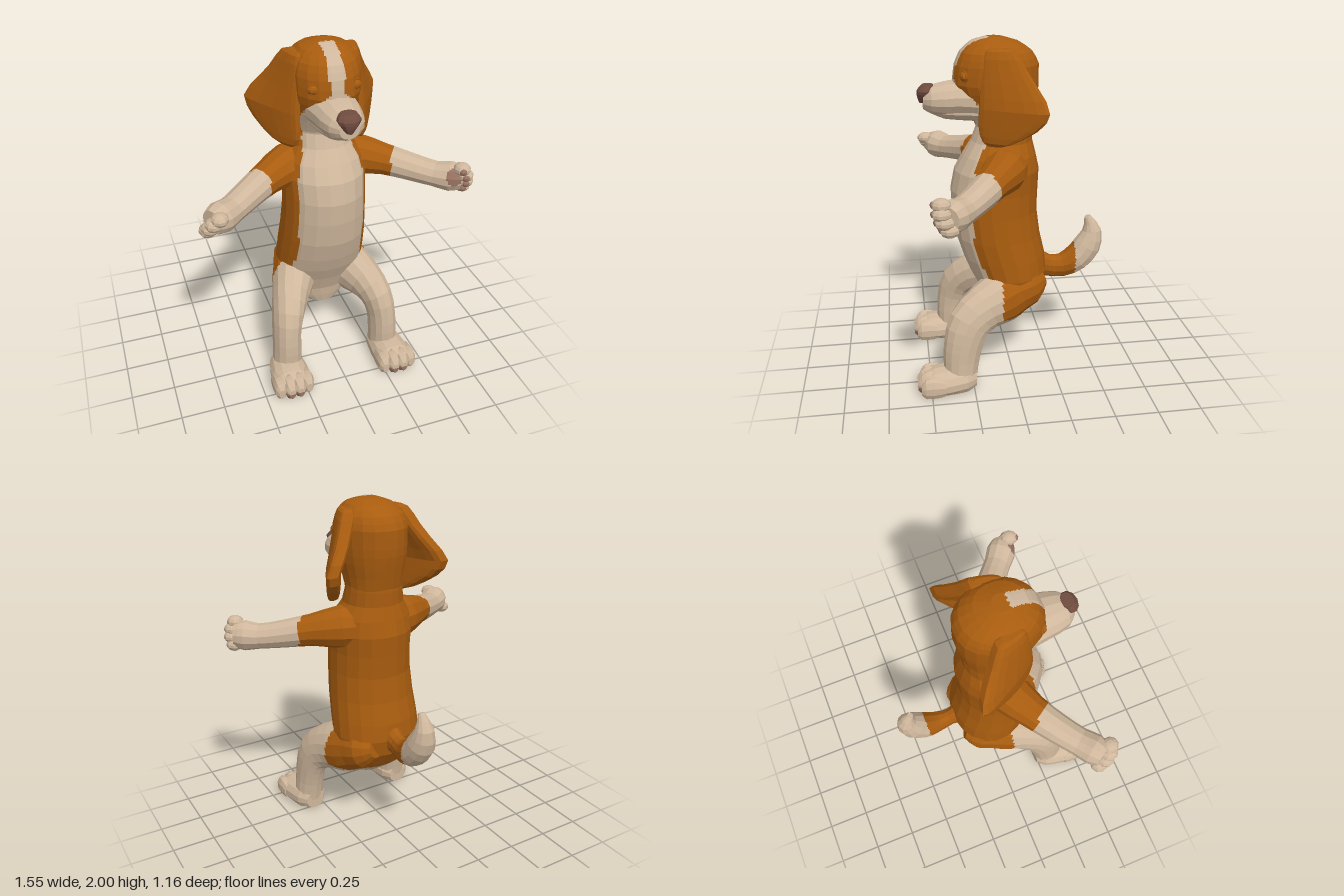
import * as THREE from 'three';

const mat = (name, color) => Object.assign(new THREE.MeshStandardMaterial({ color }), { name });
const V = (x, y, z) => new THREE.Vector3(x, y, z);
const X = V(1, 0, 0), Y = V(0, 1, 0), Z = V(0, 0, 1);
const clamp = THREE.MathUtils.clamp;
const bend = (v, power) => Math.sign(v) * Math.abs(v) ** power;

export function createModel() {
  const model = new THREE.Group();
  model.name = 'puppy';
  const tan = mat('tanFur', 0xa85c0f);
  const cream = mat('creamFur', 0xcfb79c);
  const noseBrown = mat('noseBrown', 0x704c40);
  const padBrown = mat('padBrown', 0x977261);
  const soleBrown = mat('soleBrown', 0x68473a);

  // Faceted skin over closed rings; each facet is split finely so markings get clean edges
  function skin(name, rings, rule, split = 4) {
    const centre = r => r.reduce((s, p) => s.add(p), V(0, 0, 0)).divideScalar(r.length);
    const cap = r => { const c = centre(r); return r.map(() => c); };
    const all = [cap(rings[0]), ...rings, cap(rings[rings.length - 1])];
    const n = rings[0].length, buckets = new Map();
    const single = rule.isMaterial;
    const k = single ? 1 : split;
    for (let i = 0; i < all.length - 1; i++) for (let j = 0; j < n; j++) {
      const a = all[i][j], b = all[i][(j + 1) % n], c = all[i + 1][(j + 1) % n], d = all[i + 1][j];
      const normal = c.clone().sub(a).cross(d.clone().sub(b)).normalize();
      const at = (u, v) => a.clone().lerp(b, u).lerp(d.clone().lerp(c, u), v);
      for (let p = 0; p < k; p++) for (let q = 0; q < k; q++) {
        const m = single ? rule : rule(at((p + 0.5) / k, (q + 0.5) / k), normal);
        if (!buckets.has(m)) buckets.set(m, { pos: [], nor: [] });
        const out = buckets.get(m);
        const A = at(p / k, q / k), B = at((p + 1) / k, q / k);
        const C = at((p + 1) / k, (q + 1) / k), D = at(p / k, (q + 1) / k);
        for (const w of [A, B, C, A, C, D]) {
          out.pos.push(w.x, w.y, w.z);
          out.nor.push(normal.x, normal.y, normal.z);
        }
      }
    }
    const geo = new THREE.BufferGeometry(), pos = [], nor = [], mats = [];
    for (const [m, o] of buckets) {
      geo.addGroup(pos.length / 3, o.pos.length / 3, mats.length);
      for (const v of o.pos) pos.push(v);
      for (const v of o.nor) nor.push(v);
      mats.push(m);
    }
    geo.setAttribute('position', new THREE.Float32BufferAttribute(pos, 3));
    geo.setAttribute('normal', new THREE.Float32BufferAttribute(nor, 3));
    const mesh = new THREE.Mesh(geo, mats);
    mesh.name = name;
    model.add(mesh);
  }

  // Elliptical sections [x, y, z, radius along ref, other radius], smoothed along a path
  function loft(name, secs, ref, rule, { dir, n = 14, power = 1, fine = 2 } = {}) {
    const steps = (secs.length - 1) * fine;
    const path = new THREE.CatmullRomCurve3(secs.map(s => V(s[0], s[1], s[2]))).getPoints(steps);
    const radii = new THREE.CatmullRomCurve3(secs.map(s => V(s[3], s[4], 0))).getPoints(steps);
    skin(name, path.map((c, i) => {
      const t = (dir || path[Math.min(i + 1, steps)].clone().sub(path[Math.max(i - 1, 0)])).clone().normalize();
      const e1 = ref.clone().addScaledVector(t, -ref.dot(t)).normalize();
      const e2 = t.clone().cross(e1);
      return Array.from({ length: n }, (_, j) => {
        const th = (j + 0.5) / n * Math.PI * 2;
        const p = c.clone().addScaledVector(e1, radii[i].x * bend(Math.cos(th), power));
        p.addScaledVector(e2, radii[i].y * bend(Math.sin(th), power));
        p.y = Math.max(0, p.y);
        return p;
      });
    }), rule);
  }

  // Small faceted ellipsoid
  function blob(name, material, p, r) {
    const geo = new THREE.SphereGeometry(1, 9, 7).scale(...r).translate(...p).toNonIndexed();
    geo.computeVertexNormals();
    const mesh = new THREE.Mesh(geo, material);
    mesh.name = name;
    model.add(mesh);
  }

  // Torso and neck: [y, z centre, half depth, half width]
  const upright = s => [0, s[0], s[1], s[3], s[2]];
  loft('torso', [
    [0.31, 0.06, 0.06, 0.09], [0.36, 0.03, 0.1, 0.16], [0.42, 0, 0.14, 0.21], [0.52, -0.015, 0.195, 0.25],
    [0.62, 0, 0.23, 0.268], [0.72, 0.025, 0.245, 0.262], [0.85, 0.06, 0.25, 0.252], [1.0, 0.08, 0.25, 0.242],
    [1.13, 0.08, 0.255, 0.238], [1.25, 0.065, 0.245, 0.242], [1.34, 0.05, 0.21, 0.225], [1.42, 0.035, 0.175, 0.175],
    [1.5, 0.02, 0.16, 0.165], [1.56, 0.03, 0.165, 0.16],
  ].map(upright), X, p => {
    if (p.y < 0.39) return cream;
    const rise = clamp((p.y - 0.75) / 0.35, 0, 1), neck = clamp((p.y - 1.25) / 0.17, 0, 1);
    const hip = clamp((0.75 - p.y) / 0.15, 0, 1);
    const edge = 0.165 + 0.05 * rise - 0.1 * neck - 0.09 * hip;
    return p.z > edge && Math.abs(p.x) < 0.195 - 0.055 * neck + 0.03 * hip ? cream : tan;
  }, { dir: Y, n: 20, power: 0.97, fine: 1 });

  // Face marking: a narrow blaze that widens over the cheeks and slants back to the throat
  const face = p => {
    const x = Math.abs(p.x), drop = Math.max(0, 1.78 - p.y);
    if (p.z < 0.11 || x > 0.042 + 0.9 * drop) return tan;
    return x > 0.06 && p.z < 0.29 - 0.9 * drop ? tan : cream;
  };
  loft('head', [
    [1.5, 0.02, 0.155, 0.16], [1.58, 0.035, 0.185, 0.17], [1.66, 0.05, 0.215, 0.185], [1.75, 0.068, 0.242, 0.195],
    [1.85, 0.062, 0.235, 0.195], [1.92, 0.065, 0.2, 0.175], [1.97, 0.075, 0.135, 0.13], [1.997, 0.08, 0.05, 0.05],
  ].map(upright), X, face, { dir: Y, n: 20, power: 0.93 });

  // Muzzle, jaw and nose
  loft('muzzle', [
    [0, 1.66, 0.18, 0.15, 0.11], [0, 1.665, 0.28, 0.135, 0.102], [0, 1.66, 0.36, 0.122, 0.095],
    [0, 1.658, 0.43, 0.1, 0.08], [0, 1.655, 0.475, 0.055, 0.05],
  ], X, p => (Math.abs(p.x) > 0.06 && p.z < 0.3 - 0.9 * Math.max(0, 1.78 - p.y) ? tan : cream), { dir: Z });
  loft('jaw', [
    [0, 1.6, 0.15, 0.13, 0.07], [0, 1.6, 0.27, 0.11, 0.06], [0, 1.6, 0.36, 0.085, 0.05], [0, 1.605, 0.42, 0.05, 0.03],
  ], X, cream, { dir: Z });
  loft('nose', [
    [0, 1.642, 0.468, 0.02, 0.026], [0, 1.675, 0.464, 0.046, 0.041], [0, 1.71, 0.46, 0.066, 0.047], [0, 1.742, 0.446, 0.046, 0.034],
  ], X, noseBrown, { dir: Y, n: 10 });

  // Tail curling up to a pale tip
  loft('tail', [
    [0, 0.63, -0.15, 0.08, 0.1], [0, 0.6, -0.25, 0.05, 0.07], [0, 0.595, -0.34, 0.065, 0.075], [0, 0.64, -0.43, 0.083, 0.085],
    [0, 0.72, -0.495, 0.08, 0.085], [0, 0.82, -0.522, 0.055, 0.058], [0, 0.91, -0.49, 0.018, 0.018],
  ], X, p => (p.z < -0.41 ? cream : tan), { n: 12 });

  for (const s of [1, -1]) {
    const side = s > 0 ? 'left' : 'right';
    const flip = secs => secs.map(([x, ...rest]) => [s * x, ...rest]);

    // Eye and lid
    blob(side + 'Eye', tan, [s * 0.106, 1.8, 0.252], [0.042, 0.028, 0.024]);
    const lid = new THREE.Mesh(new THREE.TorusGeometry(0.042, 0.008, 5, 14), tan);
    lid.name = side + 'Eyelid';
    lid.scale.y = 0.75;
    lid.position.set(s * 0.106, 1.8, 0.257);
    lid.rotation.y = s * 0.45;
    model.add(lid);

    // Floppy ear, flaring out and back with a thick rolled rear: [y, rear z, front z, half thickness]
    skin(side + 'Ear', [
      [1.435, 0.07, 0.14, 0.015], [1.455, 0.02, 0.165, 0.03], [1.49, -0.04, 0.18, 0.036], [1.54, -0.11, 0.185, 0.04],
      [1.59, -0.155, 0.185, 0.042], [1.64, -0.172, 0.182, 0.043], [1.7, -0.158, 0.178, 0.043], [1.77, -0.118, 0.172, 0.043],
      [1.84, -0.075, 0.165, 0.043], [1.9, -0.045, 0.155, 0.043], [1.94, -0.02, 0.14, 0.036], [1.952, 0.01, 0.12, 0.02],
    ].map(([y, z0, z1, h]) => Array.from({ length: 16 }, (_, j) => {
      const th = (j + 0.5) / 16 * Math.PI * 2, k = clamp((y - 1.65) / 0.3, 0, 1);
      const z = (z0 + z1) / 2 + (z1 - z0) / 2 * bend(Math.cos(th), 0.8);
      const x = 0.185 - 0.045 * k + (0.17 - z) * 0.5 * (1 - 0.7 * k);
      return V(s * x + h * bend(Math.sin(th), 0.5) * (1 - 0.3 * Math.cos(th)), y, z);
    })), tan);

    // Arm, with a palm pad on the raised left paw
    const pad = V(0.65, 1.245, 0.435);
    loft(side + 'Arm', flip([
      [0.08, 1.28, 0.02, 0.13, 0.14], [0.2, 1.28, 0.05, 0.125, 0.125], [0.35, 1.262, 0.135, 0.092, 0.095],
      [0.48, 1.235, 0.225, 0.08, 0.085], [0.59, 1.215, 0.31, 0.073, 0.08], [0.66, 1.215, 0.365, 0.088, 0.088],
      [0.715, 1.215, 0.4, 0.07, 0.065],
    ]), Y, p => {
      if (s > 0 && p.distanceTo(pad) < 0.05) return padBrown;
      return Math.abs(p.x) * 0.8 + p.z * 0.6 > 0.42 ? cream : tan;
    }, { n: 12 });
    // Fingers: the left paw is raised upright, the right paw is tilted palm down
    const tilt = s > 0 ? 0.35 : 0.75;
    [-0.066, -0.022, 0.022, 0.066].forEach((d, i) => {
      const out = i === 1 || i === 2 ? 0.012 : 0;
      const across = d * Math.sin(tilt);
      const p = [s * (0.708 + out - 0.6 * across), (s > 0 ? 1.225 : 1.205) + d * Math.cos(tilt), 0.41 + out + 0.8 * across];
      blob(side + 'Finger', cream, p, [0.048, 0.037, 0.052]);
      if (s > 0) blob('fingerPad', padBrown, [p[0] - 0.012, p[1], p[2] + 0.039], [0.022, 0.019, 0.017]);
    });

    // Hind leg, with a broad haunch
    loft(side + 'Leg', flip([
      [0.1, 0.575, -0.185, 0.07, 0.06], [0.13, 0.555, -0.11, 0.125, 0.13], [0.15, 0.53, -0.02, 0.135, 0.15],
      [0.18, 0.5, 0.06, 0.135, 0.163], [0.24, 0.46, 0.18, 0.112, 0.14], [0.285, 0.39, 0.265, 0.095, 0.13],
      [0.305, 0.29, 0.3, 0.085, 0.117], [0.31, 0.18, 0.318, 0.085, 0.107], [0.315, 0.06, 0.325, 0.09, 0.095],
    ]), X, p => (p.z < 0.07 && p.y > 0.39 ? tan : cream), { n: 14 });

    // Foot with a dark sole, and toes
    const footRule = (p, n) => (p.y < 0.012 && n.y < -0.8 ? soleBrown : cream);
    loft(side + 'Foot', flip([
      [0.315, 0.055, 0.235, 0.06, 0.06], [0.32, 0.055, 0.29, 0.098, 0.085], [0.325, 0.05, 0.4, 0.115, 0.092],
      [0.33, 0.05, 0.48, 0.12, 0.085], [0.33, 0.05, 0.535, 0.1, 0.065],
    ]), X, footRule, { dir: Z });
    [0.246, 0.302, 0.358, 0.414].forEach((x, i) => {
      const inner = i === 1 || i === 2 ? 0.02 : 0;
      loft(side + 'Toe', flip([
        [x, 0.05, 0.42, 0.034, 0.05], [x, 0.052, 0.49 + inner, 0.04, 0.07 + inner * 0.6], [x, 0.05, 0.535 + inner, 0.036, 0.062],
        [x, 0.045, 0.56 + inner, 0.018, 0.032],
      ]), X, (p, n) => (inner && p.z > 0.55 && p.y < 0.045 ? padBrown : footRule(p, n)), { dir: Z, n: 10 });
    });
  }
  return model;
}
